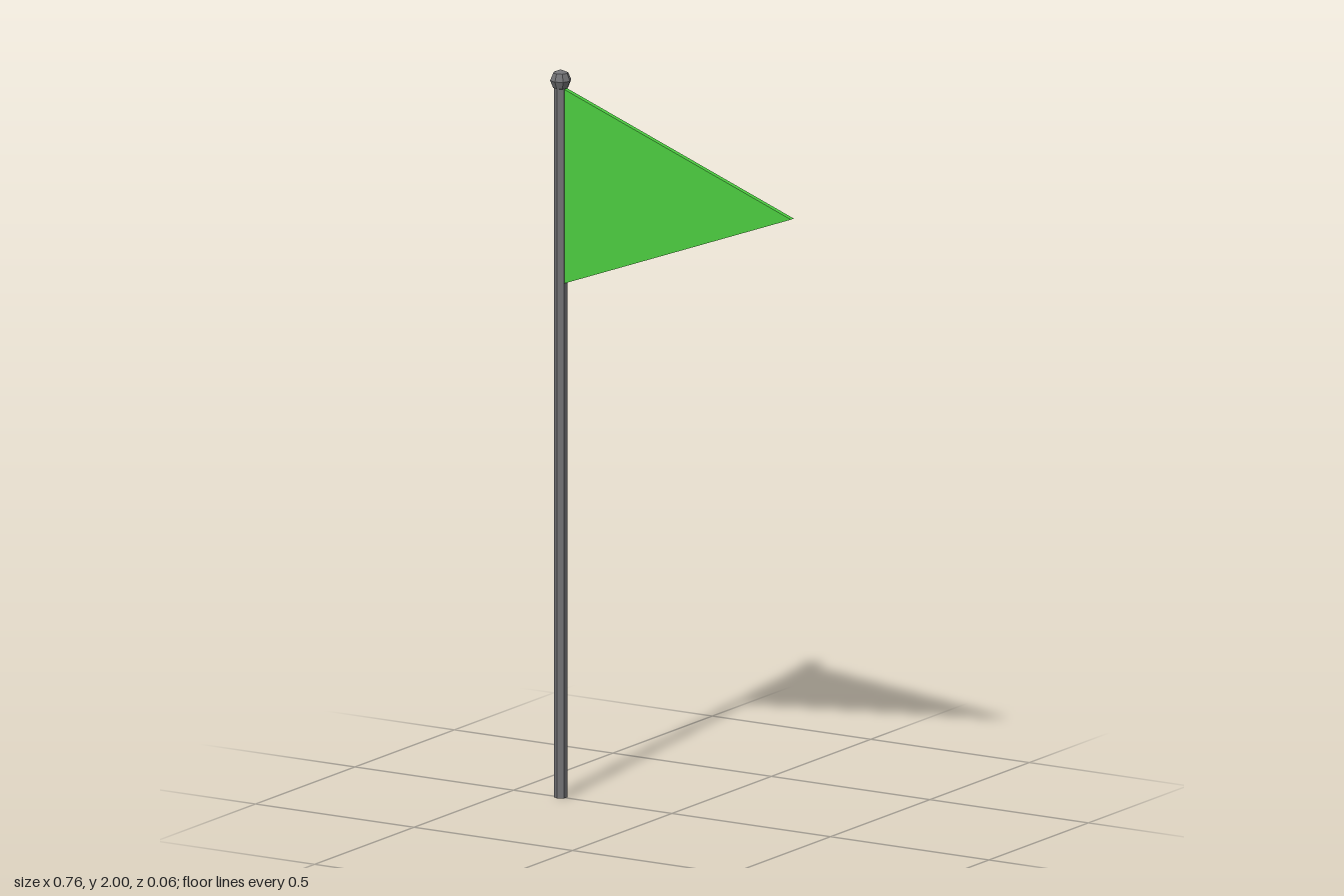
import * as THREE from 'three';

const POLE_X = -0.351, POLE_R = 0.0185, BALL_R = 0.029;

function addPart(group, name, geometry, color) {
  const material = new THREE.MeshStandardMaterial({ color, flatShading: true });
  const mesh = new THREE.Mesh(geometry, material);
  mesh.name = name;
  group.add(mesh);
  return mesh;
}

export function createModel() {
  const group = new THREE.Group();
  group.name = 'pennantFlag';

  // Six-sided pole, standing on the ground
  const poleHeight = 1.96;
  const pole = addPart(group, 'pole', new THREE.CylinderGeometry(POLE_R, POLE_R, poleHeight, 6), 0x727275);
  pole.position.set(POLE_X, poleHeight / 2, 0);

  // Faceted ball on the tip
  const finial = addPart(group, 'finial', new THREE.SphereGeometry(BALL_R, 8, 4), 0x727275);
  finial.position.set(POLE_X, 2 - BALL_R, 0);

  // Thin triangular cloth, pointing away from the pole
  const thickness = 0.015;
  const outline = new THREE.Shape([
    new THREE.Vector2(-0.336, 1.415),
    new THREE.Vector2(0.38, 1.682),
    new THREE.Vector2(-0.336, 1.949),
  ]);
  const cloth = new THREE.ExtrudeGeometry(outline, { depth: thickness, bevelEnabled: false });
  cloth.translate(0, 0, -thickness / 2);
  addPart(group, 'pennant', cloth, 0x4ccb40);

  return group;
}
